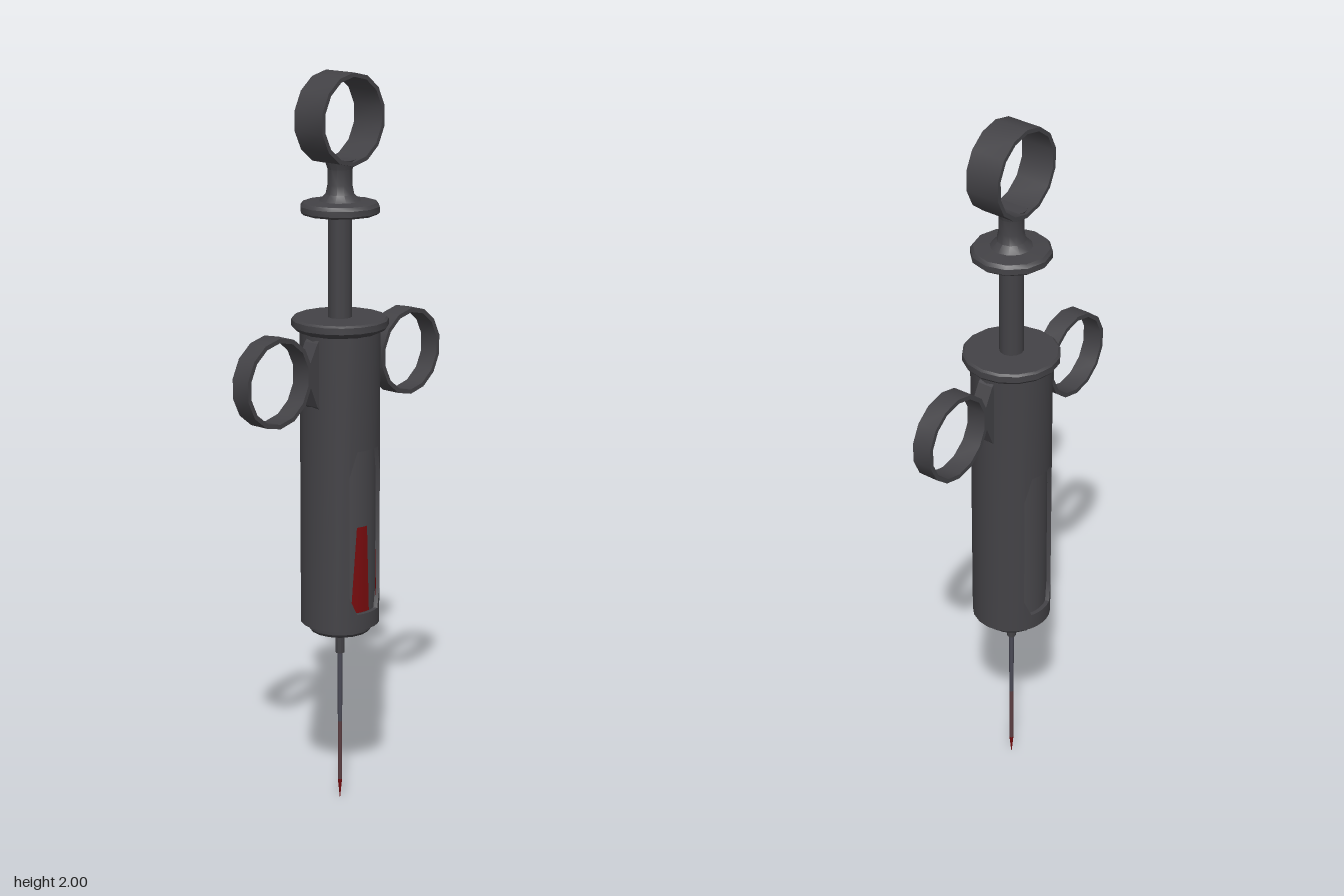
import * as THREE from 'three';
import { toCreasedNormals } from 'three/addons/utils/BufferGeometryUtils.js';

const mat = (name, color) => Object.assign(new THREE.MeshStandardMaterial({ color }), { name });
const rad = THREE.MathUtils.degToRad;

// Point on a cylinder: angle in degrees from the front (+z) towards +x
const polar = (a, y, r) => [r * Math.sin(rad(a)), y, r * Math.cos(rad(a))];

// Collects quads (counter-clockwise from outside) into a geometry
function quads(list) {
  const pos = [];
  for (const [a, b, c, d] of list) pos.push(...a, ...b, ...c, ...a, ...c, ...d);
  const geo = new THREE.BufferGeometry();
  geo.setAttribute('position', new THREE.Float32BufferAttribute(pos, 3));
  geo.computeVertexNormals();
  return toCreasedNormals(geo, 0.6);
}

// Turned part from a bottom-to-top list of [radius, y]
function turned(profile, sides) {
  const geo = new THREE.LatheGeometry(profile.map(p => new THREE.Vector2(...p)), sides);
  return toCreasedNormals(geo, 0.6);
}

// Flat finger band with its hole along z
function band(outer, inner, depth) {
  const d = depth / 2;
  return turned([[inner, -d], [outer, -d], [outer, d], [inner, d], [inner, -d]], 14).rotateX(Math.PI / 2);
}

// Tube wall with a chamfered window at the front and the back
function barrelWall() {
  const R = 0.107, r = 0.093, bottom = 0.525, top = 1.335;
  const edge = { 34: [0.62, 0.95], 22: [0.57, 1.02], 11: [0.57, 1.02], 0: [0.57, 1.02] };
  const half = [-34, -22, -11, 0, 11, 22, 34, 53, 72, 90, 108, 127, 146];
  const list = [];
  for (const turn of [0, 180]) {
    for (let i = 0; i < half.length - 1; i++) {
      const a = half[i] + turn, b = half[i + 1] + turn;
      const wall = (l0, l1, h0, h1) =>
        list.push([polar(a, l0, R), polar(b, l1, R), polar(b, h1, R), polar(a, h0, R)]);
      const ea = edge[Math.abs(half[i])], eb = edge[Math.abs(half[i + 1])];
      if (!ea || !eb) { wall(bottom, bottom, top, top); continue; }
      wall(bottom, bottom, ea[0], eb[0]);
      wall(ea[1], eb[1], top, top);
      // sill and head of the window
      list.push([polar(a, ea[0], R), polar(b, eb[0], R), polar(b, eb[0], r), polar(a, ea[0], r)]);
      list.push([polar(a, ea[1], r), polar(b, eb[1], r), polar(b, eb[1], R), polar(a, ea[1], R)]);
    }
    // window jambs
    const [y0, y1] = edge[34], p = turn - 34, q = turn + 34;
    list.push([polar(p, y0, R), polar(p, y0, r), polar(p, y1, r), polar(p, y1, R)]);
    list.push([polar(q, y0, r), polar(q, y0, R), polar(q, y1, R), polar(q, y1, r)]);
  }
  return quads(list);
}

// Thin curved patch of fluid, from angles a0..a1 at y0 to b0..b1 at y1
function fluidPatch(a0, a1, y0, b0, b1, y1) {
  const n = 4, r = 0.0975, list = [];
  const lerp = THREE.MathUtils.lerp;
  for (let i = 0; i < n; i++) {
    const s = i / n, t = (i + 1) / n;
    list.push([polar(lerp(a0, a1, s), y0, r), polar(lerp(a0, a1, t), y0, r),
      polar(lerp(b0, b1, t), y1, r), polar(lerp(b0, b1, s), y1, r)]);
  }
  return quads(list);
}

export function createModel() {
  const model = new THREE.Group();
  model.name = 'syringe';
  const metal = mat('dark metal', 0x434246);
  const glass = mat('smoked glass', 0x47464a);
  const fluid = mat('red fluid', 0x780c0e);
  const steel = mat('needle steel', 0x4a4a56);
  const stained = mat('stained steel', 0x5c3e42);

  const add = (name, geo, material, x = 0, y = 0, z = 0, parent = model) => {
    const mesh = new THREE.Mesh(geo, material);
    mesh.name = name;
    mesh.position.set(x, y, z);
    parent.add(mesh);
    return mesh;
  };

  // Barrel with its end caps
  add('barrel', barrelWall(), metal);
  add('glassTube', new THREE.CylinderGeometry(0.0955, 0.0955, 0.7, 32), glass, 0, 0.89);
  add('fluidFront', fluidPatch(-30, 5, 0.572, -20, 0, 0.81), fluid);
  add('fluidSide', fluidPatch(28, 34, 0.6, 30, 34, 0.73), fluid);
  add('barrelFlange', turned([[0, 1.325], [0.107, 1.325], [0.122, 1.333], [0.128, 1.34],
    [0.128, 1.357], [0.122, 1.362], [0, 1.362]], 16), metal);
  add('barrelBase', turned([[0, 0.5], [0.08, 0.5], [0.086, 0.508], [0.086, 0.525],
    [0.107, 0.525]], 16), metal);

  // Plunger rod, thumb disc and flared neck
  add('plungerRod', new THREE.CylinderGeometry(0.032, 0.032, 0.3, 12), metal, 0, 1.5);
  add('thumbDisc', turned([[0, 1.634], [0.098, 1.634], [0.105, 1.64], [0.105, 1.655],
    [0.098, 1.664], [0.055, 1.668], [0.038, 1.685], [0.033, 1.71], [0.033, 1.75],
    [0.042, 1.775], [0, 1.775]], 12), metal);
  add('thumbRing', band(0.12, 0.109, 0.097), metal, 0, 1.88);

  // Finger rings on tapered brackets, one each side
  const bracket = new THREE.Shape([[0.095, 1.325], [0.11, 1.31], [0.14, 1.255], [0.14, 1.21],
    [0.11, 1.14], [0.095, 1.125]].map(p => new THREE.Vector2(...p)));
  for (const side of [1, -1]) {
    const group = new THREE.Group();
    group.name = side > 0 ? 'leftFingerGrip' : 'rightFingerGrip';
    if (side < 0) group.rotation.y = Math.PI;
    model.add(group);
    add('fingerRing', band(0.119, 0.107, 0.055), metal, 0.254, 1.23, 0, group);
    add('bracket', new THREE.ExtrudeGeometry(bracket, { depth: 0.044, bevelEnabled: false }),
      metal, 0, 0, -0.022, group);
  }

  // Needle hub, shaft and tip
  add('needleHub', turned([[0, 0.43], [0.012, 0.43], [0.013, 0.475], [0.018, 0.48],
    [0.018, 0.505]], 10), metal);
  add('needleShaft', new THREE.CylinderGeometry(0.007, 0.006, 0.21, 8), steel, 0, 0.335);
  add('needleLower', new THREE.CylinderGeometry(0.006, 0.006, 0.17, 8), stained, 0, 0.145);
  add('needleTip', new THREE.ConeGeometry(0.006, 0.06, 8).rotateX(Math.PI), fluid, 0, 0.03);

  return model;
}
